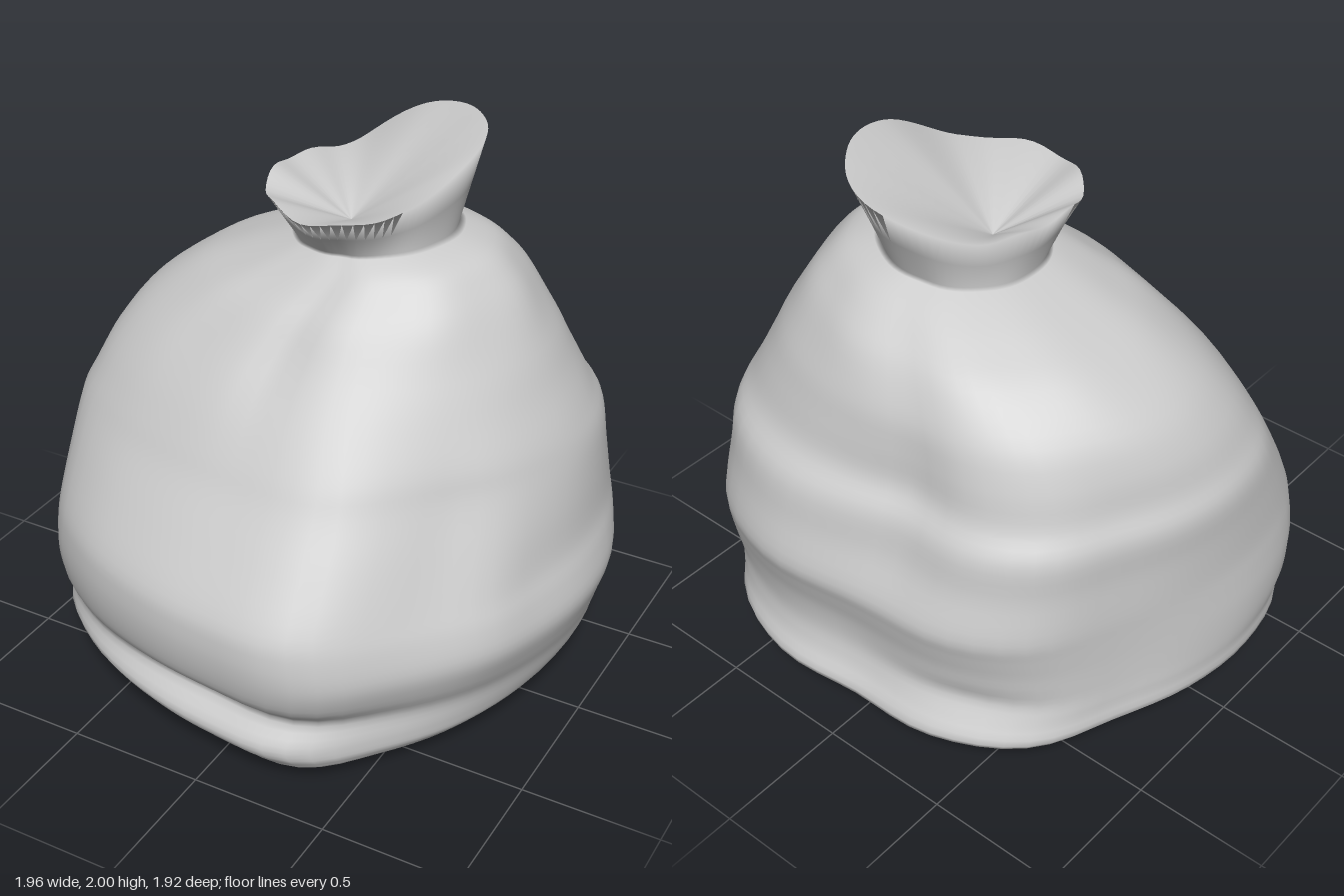
import * as THREE from 'three';

const SEG = 72;
const BODY_RINGS = 72;
const TAU = Math.PI * 2;
const { lerp, smoothstep } = THREE.MathUtils;
const gauss = (d) => Math.exp(-d * d);

// Catmull-Rom value between four neighbours
function cubic(a, b, c, d, t) {
  return b + 0.5 * t * (c - a + t * (2 * a - 5 * b + 4 * c - d + t * (3 * (b - c) + d - a)));
}

// Smooth closed profile sampled by angle
function around(list, angle) {
  const n = list.length, f = (angle / TAU) * n, i = Math.floor(f);
  const at = (k) => list[(i + k + n) % n];
  return cubic(at(-1), at(0), at(1), at(2), f - i);
}

// Smooth open table of rows sampled at a fractional index
function sampleRow(rows, f) {
  const i = Math.min(Math.floor(f), rows.length - 2);
  const at = (k) => rows[Math.min(Math.max(i + k, 0), rows.length - 1)];
  return rows[0].map((_, c) => cubic(at(-1)[c], at(0)[c], at(1)[c], at(2)[c], f - i));
}

// Plan outline of the full sack, every 20 degrees from the front toward +x
const PLAN = [1, 1.06, 0.98, 0.955, 0.965, 1.02, 1.1, 1.165, 1.12,
  1.03, 1.07, 1.07, 0.98, 0.98, 1.015, 1.055, 1.015, 0.985];

// Sack cross-sections: y, min x, max x, front z, back z
const ROWS = [
  [0.075, 0.04, 0.06, 0.01, -0.01],
  [0.07, -0.3, 0.4, 0.4, -0.4],
  [0.065, -0.6, 0.74, 0.79, -0.67],
  [0.1, -0.77, 0.83, 0.87, -0.75],
  [0.16, -0.95, 0.88, 0.9, -0.88],
  [0.25, -0.97, 0.91, 0.87, -0.85],
  [0.34, -0.98, 0.94, 0.91, -0.83],
  [0.45, -0.98, 0.97, 0.94, -0.84],
  [0.56, -0.97, 0.95, 0.945, -0.87],
  [0.66, -0.96, 0.92, 0.92, -0.89],
  [0.82, -0.955, 0.9, 0.81, -0.845],
  [0.97, -0.95, 0.875, 0.7, -0.82],
  [1.07, -0.91, 0.84, 0.64, -0.765],
  [1.2, -0.86, 0.78, 0.555, -0.75],
  [1.33, -0.77, 0.72, 0.46, -0.73],
  [1.46, -0.6, 0.64, 0.36, -0.67],
  [1.54, -0.44, 0.57, 0.27, -0.59],
  [1.6, -0.3, 0.49, 0.2, -0.51],
  [1.64, -0.2, 0.36, 0.14, -0.43],
];

// Soft dents (+) and bulges (-): angle, y, angular width, height, depth
const DENTS = [
  [0.05, 1.4, 0.12, 0.2, 0.035],
  [-0.45, 1.45, 0.15, 0.18, 0.015],
  [0.9, 0.85, 0.2, 0.3, 0.03],
  [1.15, 0.6, 0.15, 0.2, -0.015],
  [0, 0.27, 0.5, 0.05, 0.04],
  [3.35, 1.0, 0.17, 0.4, 0.05],
  [2.8, 0.85, 0.35, 0.18, -0.02],
  [3.6, 0.32, 0.25, 0.06, 0.025],
];

// Ring t = 0 is the middle of the base, t = 1 the tie under the neck
function sackPoint(t, angle) {
  const [y, x0, x1, z0, z1] = sampleRow(ROWS, t * (ROWS.length - 1));
  const r = lerp(around(PLAN, angle), 1, smoothstep(y, 0.95, 1.6));
  const s = Math.sin(angle), c = Math.cos(angle);
  let push = 0;
  for (const [a, h, wa, wh, depth] of DENTS) {
    const turn = Math.atan2(Math.sin(angle - a), Math.cos(angle - a));
    push -= depth * gauss(turn / wa) * gauss((y - h) / wh);
  }
  // Pleats gathered under the tie
  push += 0.006 * Math.sin(angle * 9) * gauss((y - 1.5) / 0.12);
  const x = (x0 + x1) / 2 + (s * r * (x1 - x0)) / 2 + s * push;
  const z = (z0 + z1) / 2 + (c * r * (z0 - z1)) / 2 + c * push;
  // Raised shoulder on one side, sagging fold underneath
  let py = y + 0.025 * (s + 0.6) * smoothstep(y, 1.35, 1.64);
  if (y < 0.2) py -= 0.065 * gauss((x + 0.2) / 0.18) * gauss((z + 0.63) / 0.18);
  return [x, Math.max(py, 0), z];
}

// Mouth of the neck, every 45 degrees
const RIM_R = [0.42, 0.335, 0.345, 0.37, 0.42, 0.325, 0.345, 0.4];
const RIM_Y = [1.81, 1.85, 1.97, 2.0, 1.96, 1.83, 1.84, 1.82];

function rimPoint(angle) {
  const r = around(RIM_R, angle);
  const ripple = 0.012 * Math.sin(angle * 9) * Math.max(0, Math.cos(angle + 0.8));
  const y = Math.min(around(RIM_Y, angle) + ripple, 2);
  return [0.085 + r * Math.sin(angle), y, -0.15 + r * Math.cos(angle)];
}

// Flared neck between the tie and the rim
function neckPoint(t, angle) {
  const rim = rimPoint(angle);
  return sackPoint(1, angle).map((v, k) => lerp(v, rim[k], t));
}

// One continuous cloth skin: base, body, neck, and the funnel inside the mouth
function clothGeometry() {
  const rings = [];
  for (let i = 0; i <= BODY_RINGS; i++) rings.push((a) => sackPoint(i / BODY_RINGS, a));
  for (const t of [0.5, 1]) rings.push((a) => neckPoint(t, a));
  rings.push(() => [0, 1.67, -0.1]);

  const pos = [], index = [];
  rings.forEach((ring, i) => {
    for (let j = 0; j < SEG; j++) {
      pos.push(...ring((j / SEG) * TAU));
      if (i === rings.length - 1) continue;
      const a = i * SEG + j, b = i * SEG + ((j + 1) % SEG);
      index.push(a, b, b + SEG, a, b + SEG, a + SEG);
    }
  });
  const geo = new THREE.BufferGeometry();
  geo.setAttribute('position', new THREE.Float32BufferAttribute(pos, 3));
  geo.setIndex(index);
  geo.computeVertexNormals();
  return geo;
}

export function createModel() {
  const group = new THREE.Group();
  group.name = 'tiedSack';
  const cloth = new THREE.MeshStandardMaterial({ color: 0xcccccc, side: THREE.DoubleSide });
  const sack = new THREE.Mesh(clothGeometry(), cloth);
  sack.name = 'sackCloth';
  group.add(sack);
  return group;
}
